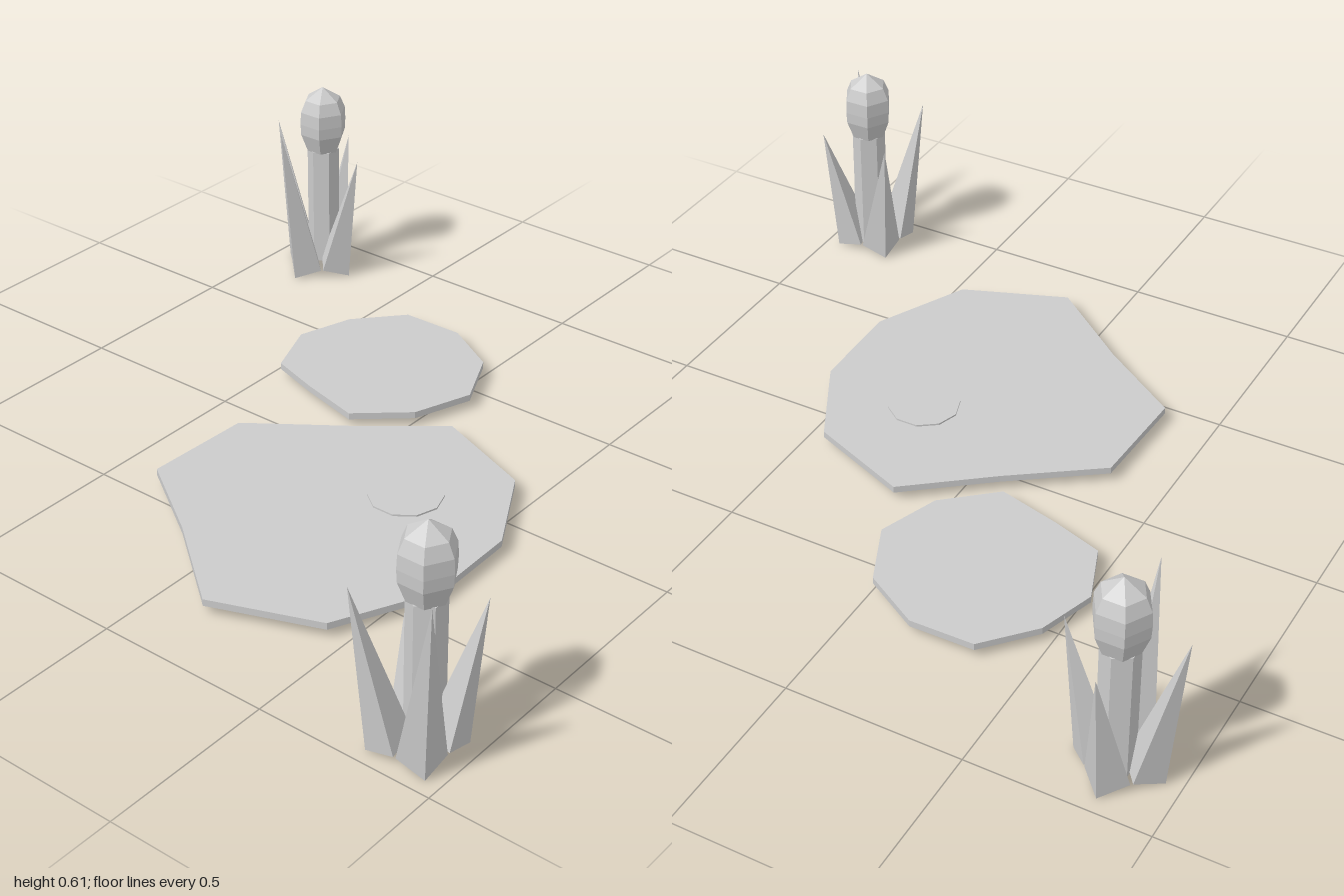
import * as THREE from 'three';

const grey = new THREE.MeshStandardMaterial({ color: 0xcccccc, flatShading: true });
grey.name = 'pale grey';

function part(name, geometry, parent) {
  const mesh = new THREE.Mesh(geometry, grey);
  mesh.name = name;
  parent.add(mesh);
  return mesh;
}

// Flat floating leaf from an outline of [x, z] points
function pad(name, outline, parent) {
  const shape = new THREE.Shape(outline.map(([x, z]) => new THREE.Vector2(x, -z)));
  const geometry = new THREE.ExtrudeGeometry(shape, { depth: 0.02, bevelEnabled: false });
  geometry.rotateX(-Math.PI / 2);
  return part(name, geometry, parent).translateY(0.03);
}

// Four-sided blade leaning towards +x, on a slanted diamond base
function bladeGeometry(reach, height) {
  const outer = [0.122, 0.004, 0], inner = [0.012, 0.046, 0];
  const left = [0.065, 0.027, -0.06], right = [0.065, 0.027, 0.06];
  const tip = [reach, height, 0];
  const faces = [
    outer, tip, right, right, tip, inner,
    inner, tip, left, left, tip, outer,
    outer, right, inner, outer, inner, left,
  ];
  // wind the corners so that each face looks outwards
  const center = new THREE.Vector3(0.09, 0.13, 0);
  const positions = [];
  for (let i = 0; i < faces.length; i += 3) {
    const [a, b, c] = faces.slice(i, i + 3).map((p) => new THREE.Vector3(...p));
    const normal = b.clone().sub(a).cross(c.clone().sub(a));
    const order = normal.dot(a.clone().sub(center)) > 0 ? [a, b, c] : [a, c, b];
    order.forEach((p) => positions.push(p.x, p.y, p.z));
  }
  const geometry = new THREE.BufferGeometry();
  geometry.setAttribute('position', new THREE.Float32BufferAttribute(positions, 3));
  geometry.computeVertexNormals();
  return geometry;
}

// Reed: four blades around a stem with a faceted head
function reed(name, x, z, turn, stemX, stemZ, parent) {
  const group = new THREE.Group();
  group.name = name;
  group.position.set(x, 0, z);
  parent.add(group);

  // reach and height of the blades, starting at +x and going round by -z
  const blades = [[0.152, 0.407], [0.163, 0.467], [0.178, 0.522], [0.157, 0.412]];
  blades.forEach(([reach, height], i) => {
    part('blade', bladeGeometry(reach, height), group).rotation.y = turn + (i * Math.PI) / 2;
  });

  const stem = part('stem', new THREE.CylinderGeometry(0.05, 0.05, 0.38, 6), group);
  stem.position.set(stemX, 0.22, stemZ);
  stem.rotation.y = Math.PI / 6;

  const profile = [[0, 0.402], [0.052, 0.408], [0.073, 0.465], [0.075, 0.5], [0.073, 0.54], [0.057, 0.577], [0, 0.615]];
  const head = new THREE.LatheGeometry(profile.map(([r, y]) => new THREE.Vector2(r, y)), 6);
  part('seedHead', head, group).position.set(stemX, 0, stemZ);
}

export function createModel() {
  const model = new THREE.Group();
  model.name = 'pondPlants';

  const largePad = pad('largeLilyPad', [
    [-0.44, -0.354], [-0.604, -0.109], [-0.806, 0.146], [-0.689, 0.45], [-0.417, 0.583],
    [-0.13, 0.577], [0.125, 0.439], [0.242, 0.141], [0.06, -0.09], [-0.12, -0.34],
  ], model);
  pad('smallLilyPad', [
    [0.38, -0.53], [0.21, -0.465], [0.162, -0.316], [0.114, -0.13], [0.237, 0.013],
    [0.412, 0.077], [0.588, -0.003], [0.683, -0.168], [0.68, -0.354], [0.545, -0.476],
  ], model);

  // Low disc in the middle of the large pad
  part('padCenter', new THREE.CylinderGeometry(0.104, 0.104, 0.008, 10), largePad)
    .position.set(-0.12, 0.021, 0.255);

  reed('frontReed', -0.873, 0.872, Math.PI / 4, 0.03, -0.004, model);
  reed('backReed', 0.835, -0.835, 0, 0.024, 0, model);
  return model;
}
